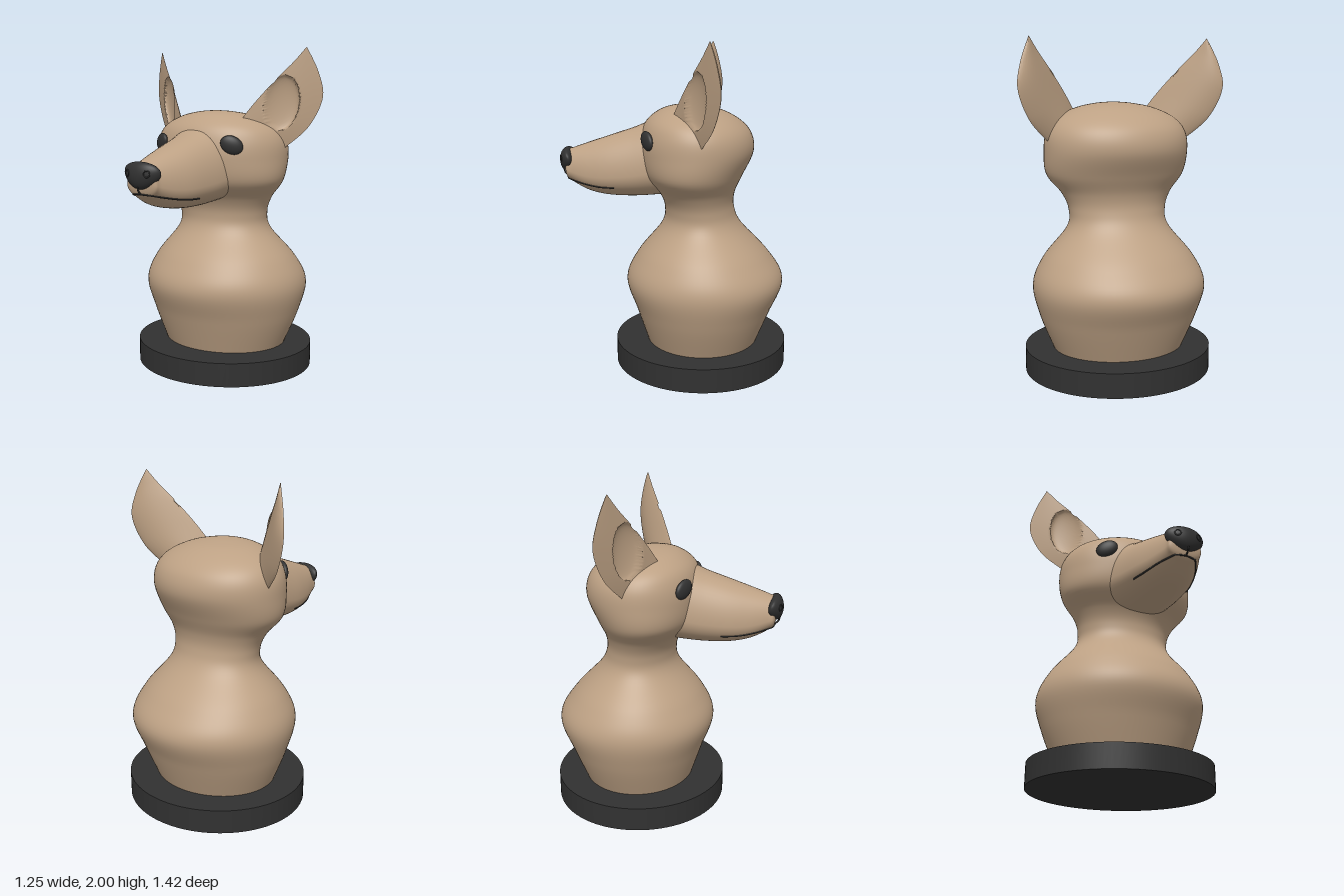
import * as THREE from 'three';
import { mergeVertices, toCreasedNormals } from 'three/addons/utils/BufferGeometryUtils.js';

const fur = new THREE.MeshStandardMaterial({ color: 0xbda184 });
fur.name = 'tan fur';
const dark = new THREE.MeshStandardMaterial({ color: 0x313131 });
dark.name = 'charcoal';

// Smooth surface from a point rule p(u, v)
function surface(p, nu, nv, flip = false) {
  const pos = [], index = [];
  for (let j = 0; j <= nv; j++)
    for (let i = 0; i <= nu; i++) pos.push(...p((i % nu) / nu, j / nv));
  for (let j = 0; j < nv; j++)
    for (let i = 0; i < nu; i++) {
      const a = j * (nu + 1) + i, b = a + 1, c = a + nu + 1, d = c + 1;
      index.push(...(flip ? [a, d, b, a, c, d] : [a, b, d, a, d, c]));
    }
  const geo = new THREE.BufferGeometry();
  geo.setAttribute('position', new THREE.Float32BufferAttribute(pos, 3));
  geo.setIndex(index);
  const merged = mergeVertices(geo, 1e-5);
  merged.computeVertexNormals();
  return merged;
}

// Smooth interpolation through rows of four numbers
function rowSpline(rows) {
  const s1 = new THREE.SplineCurve(rows.map(r => new THREE.Vector2(r[0], r[1])));
  const s2 = new THREE.SplineCurve(rows.map(r => new THREE.Vector2(r[2], r[3])));
  return t => [...s1.getPoint(t).toArray(), ...s2.getPoint(t).toArray()];
}

// Bust: y, half width, front z, back z
const bust = rowSpline([
  [0.14, 0.40, 0.165, -0.53], [0.35, 0.485, 0.235, -0.615], [0.54, 0.525, 0.295, -0.685],
  [0.70, 0.46, 0.225, -0.595], [0.88, 0.315, 0.08, -0.425], [0.99, 0.30, 0.055, -0.375],
  [1.09, 0.34, 0.09, -0.378], [1.20, 0.425, 0.18, -0.425], [1.34, 0.44, 0.21, -0.488],
  [1.45, 0.425, 0.20, -0.475], [1.53, 0.365, 0.165, -0.405], [1.59, 0.24, 0.09, -0.29],
  [1.617, 0.11, 0.01, -0.17], [1.625, 0, -0.07, -0.07],
]);
function bustPoint(u, v) {
  const [y, rx, zf, zb] = bust(v), a = u * Math.PI * 2;
  return [rx * Math.sin(a), y, (zf + zb) / 2 + (zf - zb) / 2 * Math.cos(a)];
}

// Muzzle: z, half width, top y, bottom y; widest low down
const muzzle = rowSpline([
  [-0.05, 0.25, 1.52, 1.09], [0.1, 0.235, 1.535, 1.07], [0.25, 0.215, 1.48, 1.06],
  [0.4, 0.19, 1.43, 1.065], [0.52, 0.155, 1.39, 1.09], [0.62, 0.115, 1.355, 1.14],
  [0.66, 0.095, 1.335, 1.175], [0.675, 0, 1.26, 1.26],
]);
function muzzleRing(t, a) {
  const [z, w, top, bottom] = muzzle(t), yc = bottom + 0.35 * (top - bottom);
  const c = Math.cos(a), s = Math.sin(a);
  return [w * Math.sign(c) * Math.abs(c) ** 0.85, yc + s * (s > 0 ? top - yc : yc - bottom), z];
}

// Ear outline, from the root inside the head to the tip
const edge = pts => new THREE.SplineCurve(pts.map(p => new THREE.Vector2(...p)));
const innerEdge = edge([[0.18, 1.49], [0.235, 1.585], [0.305, 1.69], [0.40, 1.815], [0.48, 1.91], [0.545, 2]]);
const outerEdge = edge([[0.35, 1.34], [0.435, 1.405], [0.555, 1.53], [0.625, 1.70], [0.605, 1.85], [0.545, 2]]);
function earPoint(side) {
  return (u, v) => {
    const front = u <= 0.5, k = front ? u * 2 : 2 - u * 2;
    const p = innerEdge.getPoint(v).lerp(outerEdge.getPoint(v), k);
    let z = -0.015 - (p.x - 0.235) * 0.68 - 0.05 * k * (1 - v) ** 2;
    if (front) {
      // Hollow of the ear
      const dx = p.x - 0.425, dy = p.y - 1.67;
      const ex = (dx - dy * 0.12) / 0.085, ey = (dy + dx * 0.12) / 0.165;
      z -= 0.045 * Math.sqrt(Math.max(0, 1 - ex * ex - ey * ey));
      z += 0.015 * Math.sin(Math.PI * k) * (1 - v);
    } else z -= 0.06 * Math.sin(Math.PI * k) ** 0.8 * (1 - v ** 3);
    return [side * p.x, p.y, z];
  };
}

export function createModel() {
  const model = new THREE.Group();
  model.name = 'animalBust';
  const add = (name, geo, mat, x = 0, y = 0, z = 0) => {
    const mesh = new THREE.Mesh(geo, mat);
    mesh.name = name;
    mesh.position.set(x, y, z);
    model.add(mesh);
    return mesh;
  };

  // Oval stand
  add('stand', new THREE.CylinderGeometry(0.57, 0.57, 0.146, 96), dark, 0, 0.073, -0.1725).scale.z = 0.943;

  // Chest, neck and head in one skin, with the muzzle set into it
  add('chestNeckAndHead', surface(bustPoint, 72, 96), fur);
  add('muzzle', surface((u, v) => muzzleRing(v, u * Math.PI * 2), 56, 56), fur);

  // Nose: broad at the top, swept back at the sides
  const nose = new THREE.SphereGeometry(1, 40, 28);
  const p = nose.attributes.position;
  for (let i = 0; i < p.count; i++) {
    const x = p.getX(i), y = p.getY(i), z = p.getZ(i);
    p.setXYZ(i, x * (1 + 0.22 * y) * 0.122, y * 0.077, z * 0.045 - 0.025 * x * x);
  }
  nose.computeVertexNormals();
  add('nose', nose, dark, 0, 1.279, 0.665);

  // Lip line from nose to chin
  const tube = (pts, r) => new THREE.TubeGeometry(new THREE.CatmullRomCurve3(pts), 40, r, 8);
  add('lipCleft', tube([new THREE.Vector3(0, 1.22, 0.69), new THREE.Vector3(0, 1.195, 0.683),
    new THREE.Vector3(0, 1.172, 0.662)], 0.005), dark);

  for (const side of [1, -1]) {
    const label = side > 0 ? 'left' : 'right';

    // Ear
    add(label + 'Ear', toCreasedNormals(surface(earPoint(side), 96, 56, side < 0), 0.7), fur);

    // Eye
    const eye = add(label + 'Eye', new THREE.SphereGeometry(1, 32, 20), dark, side * 0.258, 1.428, 0.142);
    eye.scale.set(0.07, 0.053, 0.026);
    eye.rotation.set(0, side * 0.53, -side * 0.45, 'YXZ');

    // Mouth line following the muzzle
    const mouth = [];
    for (let i = 0; i <= 10; i++) {
      const t = 0.38 + 0.42 * i / 10;
      const [z, , top, bottom] = muzzle(t);
      const y = 1.13 + 0.042 * Math.max(0, (z - 0.42) / 0.24) ** 1.5;
      const s = (y - bottom) / (0.35 * (top - bottom)) - 1;
      const q = muzzleRing(t, Math.asin(Math.max(-1, Math.min(0, s))));
      mouth.push(new THREE.Vector3(side * q[0], q[1], q[2]));
    }
    mouth.push(new THREE.Vector3(0, 1.173, 0.663));
    add(label + 'MouthLine', tube(mouth, 0.005), dark);

    // Nostril rim
    const rim = add(label + 'Nostril', new THREE.TorusGeometry(0.018, 0.004, 8, 24), dark, side * 0.068, 1.292, 0.693);
    rim.rotation.y = side * 0.45;
  }
  return model;
}
